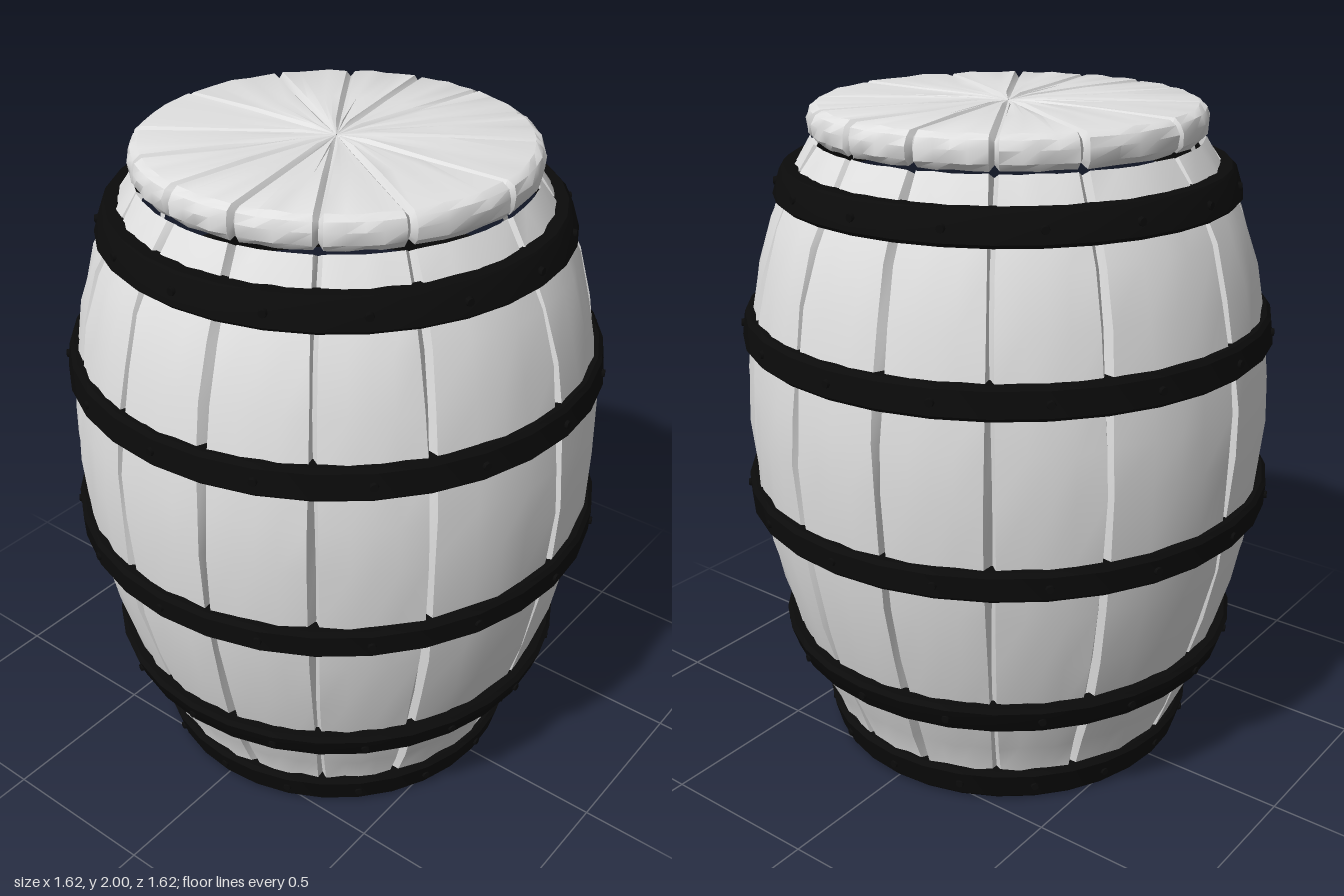
import * as THREE from 'three';
import { toCreasedNormals } from 'three/addons/utils/BufferGeometryUtils.js';

const wood = new THREE.MeshStandardMaterial({ name: 'pale wood', color: 0xe0e0e0 });
const iron = new THREE.MeshStandardMaterial({ name: 'black iron', color: 0x0b0b0b });

// Stave joints in degrees, mirrored; the side staves are wider
const quarter = [11, 33.5, 57, 90];
const joints = [...quarter, ...quarter.slice(0, 3).reverse().map(a => 180 - a)];
const seams = [...joints, ...joints.map(a => a + 180)];

// Barrel outline: radius, height, groove depth
const bulge = [
  [0.55, 0.01, 0], [0.565, 0.1, 0.02], [0.61, 0.21, 0.03], [0.665, 0.36, 0.03], [0.715, 0.54, 0.03],
  [0.755, 0.72, 0.03], [0.777, 0.9, 0.03], [0.787, 1.08, 0.03], [0.782, 1.22, 0.03],
  [0.765, 1.37, 0.03], [0.735, 1.53, 0.03], [0.69, 1.68, 0.03], [0.625, 1.81, 0.03], [0.565, 1.9, 0.025],
];
const head = [
  [0.555, 1.905, 0.02], [0.572, 1.925, 0.02], [0.575, 1.96, 0.02], [0.565, 1.985, 0.02],
  [0.545, 1.998, 0.018], [0.3, 2, 0.015], [0.1, 2, 0.01], [0.002, 1.995, 0],
];

// Sweep an outline round the axis, cutting a V groove along every seam
function grooved(profile, wobble) {
  const cols = [0, 0.06, 0.3, 0.5, 0.7, 0.94];
  const pos = [], index = [];
  const n = seams.length * cols.length;
  profile.forEach(([r, y, depth], i) => {
    const p = profile[Math.max(i - 1, 0)], q = profile[Math.min(i + 1, profile.length - 1)];
    const len = Math.hypot(q[0] - p[0], q[1] - p[1]);
    const nr = (q[1] - p[1]) / len, ny = -(q[0] - p[0]) / len;
    seams.forEach((start, s) => {
      const end = s + 1 < seams.length ? seams[s + 1] : seams[0] + 360;
      const span = THREE.MathUtils.degToRad(end - start);
      const edge = Math.min(0.013 / (r * span), 0.25);
      cols.forEach((u, c) => {
        const t = c === 1 ? edge : c === 5 ? 1 - edge : u;
        const sway = wobble * Math.sin(s * 2.7 + y * 5) * (c === 0 ? 1 : 0.6);
        const a = THREE.MathUtils.degToRad(start) + t * span + sway;
        const dent = depth && c ? wobble * 0.6 * Math.sin(s * 4.1 + c * 2.3 + i * 1.9) : 0;
        const d = (c === 0 ? -depth : 0) + dent;
        const rr = r + nr * d;
        pos.push(rr * Math.sin(a), y + ny * d, rr * Math.cos(a));
      });
    });
  });
  for (let i = 0; i < profile.length - 1; i++) {
    for (let j = 0; j < n; j++) {
      const k = (j + 1) % n, a = i * n + j, b = i * n + k;
      index.push(a, b, b + n, a, b + n, a + n);
    }
  }
  const g = new THREE.BufferGeometry();
  g.setAttribute('position', new THREE.Float32BufferAttribute(pos, 3));
  g.setIndex(index);
  return toCreasedNormals(g, 0.6);
}

function add(parent, name, geometry, material) {
  const m = new THREE.Mesh(geometry, material);
  m.name = name;
  parent.add(m);
  return m;
}

// Iron band: bottom and top heights with the outer radius at each
function hoop(name, y0, y1, r0, r1) {
  const g = new THREE.Group();
  g.name = name;
  const t = 0.055, b = 0.012;
  const outline = [
    [r0 - t, y0], [r0 - b, y0], [r0, y0 + b], [r1, y1 - b], [r1 - b, y1], [r1 - t, y1], [r0 - t, y0],
  ].map(p => new THREE.Vector2(...p));
  add(g, 'band', toCreasedNormals(new THREE.LatheGeometry(outline, 32), 0.5), iron);

  // Rivets round the band
  const rivet = new THREE.CylinderGeometry(0.011, 0.016, 0.02, 8);
  rivet.rotateX(Math.PI / 2);
  for (let i = 0; i < 16; i++) {
    const a = i * Math.PI / 8, r = (r0 + r1) / 2 - 0.003;
    const m = add(g, 'rivet', rivet, iron);
    m.position.set(r * Math.sin(a), (y0 + y1) / 2, r * Math.cos(a));
    m.rotation.y = a;
  }
  return g;
}

export function createModel() {
  const barrel = new THREE.Group();
  barrel.name = 'barrel';

  add(barrel, 'staves', grooved(bulge, 0.008), wood);
  add(barrel, 'lid', grooved(head, 0.004), wood);

  // Flat underside
  const base = add(barrel, 'base', new THREE.CircleGeometry(0.565, 32), wood);
  base.rotation.x = Math.PI / 2;
  base.position.y = 0.004;

  barrel.add(
    hoop('footHoop', 0, 0.105, 0.568, 0.59),
    hoop('lowerHoop', 0.32, 0.41, 0.695, 0.717),
    hoop('middleHoop', 0.8, 0.89, 0.802, 0.805),
    hoop('upperHoop', 1.315, 1.41, 0.795, 0.785),
    hoop('topHoop', 1.735, 1.83, 0.683, 0.66),
  );
  return barrel;
}
